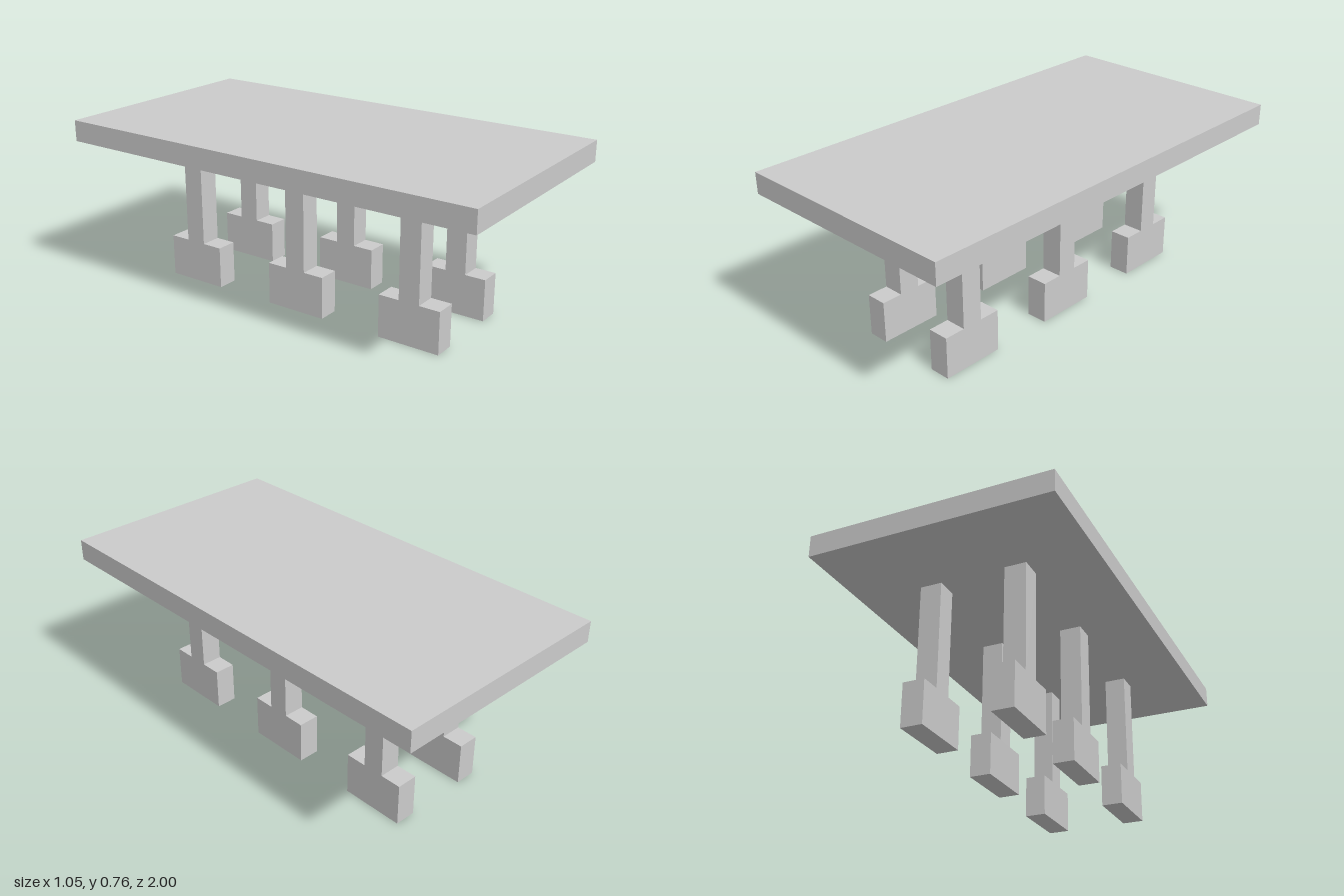
import * as THREE from 'three';

const U = 1 / 21; // every dimension is a whole number of these

export function createModel() {
  const model = new THREE.Group();
  model.name = 'table';
  const material = new THREE.MeshStandardMaterial({ color: 0xcccccc, flatShading: true });

  // Box standing on height y, sizes in grid units
  const addBox = (parent, name, w, h, d, y) => {
    const mesh = new THREE.Mesh(new THREE.BoxGeometry(w * U, h * U, d * U), material);
    mesh.name = name;
    mesh.position.y = (y + h / 2) * U;
    parent.add(mesh);
  };

  addBox(model, 'tableTop', 22, 2, 42, 14);

  // Two rows of three supports, each one a post on a block foot
  const rows = { left: 4, right: -4 };
  const places = { Front: 12, Middle: 0, Back: -12 };
  for (const [side, x] of Object.entries(rows)) {
    for (const [place, z] of Object.entries(places)) {
      const support = new THREE.Group();
      support.name = `${side}${place}Support`;
      support.position.set(x * U, 0, z * U);
      addBox(support, 'foot', 2, 4, 6, 0);
      addBox(support, 'post', 2, 10, 2, 4);
      model.add(support);
    }
  }
  return model;
}
